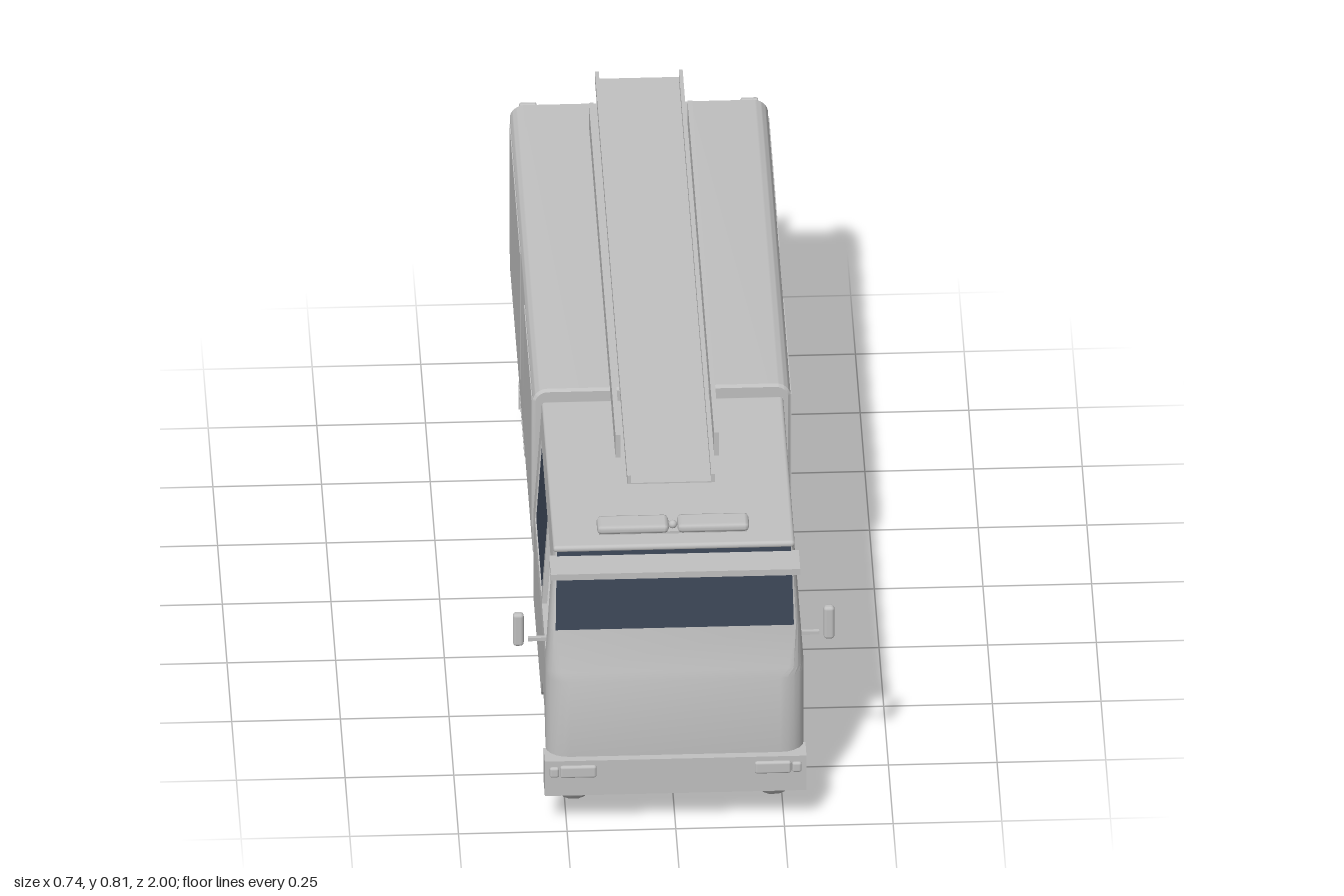
import * as THREE from 'three';
import { toCreasedNormals } from 'three/addons/utils/BufferGeometryUtils.js';
import { RoundedBoxGeometry } from 'three/addons/geometries/RoundedBoxGeometry.js';

const grey = new THREE.MeshStandardMaterial({ color: 0xc0c0c0, side: THREE.DoubleSide });
grey.name = 'grey paint';
const glass = new THREE.MeshStandardMaterial({ color: 0x3a4454, side: THREE.DoubleSide });
glass.name = 'dark glass';

export function createModel() {
  const root = new THREE.Group();
  root.name = 'boxTruck';
  const add = (name, geo, mat = grey) => {
    const m = new THREE.Mesh(geo, mat);
    m.name = name;
    root.add(m);
    return m;
  };
  // Boxes are given by their limits on each axis
  const box = (name, x0, x1, y0, y1, z0, z1, r = 0, seg = 2) => {
    const s = [Math.abs(x1 - x0), y1 - y0, z1 - z0];
    const g = r ? new RoundedBoxGeometry(...s, seg, r) : new THREE.BoxGeometry(...s);
    return add(name, g.translate((x0 + x1) / 2, (y0 + y1) / 2, (z0 + z1) / 2));
  };
  const lerpTable = (t, y) => {
    for (let i = 1; i < t.length; i++) {
      const [a, va] = t[i - 1], [b, vb] = t[i];
      if (y <= b) return va + (vb - va) * Math.max(0, (y - a) / (b - a));
    }
    return t[t.length - 1][1];
  };
  const poly = (pts) => new THREE.Shape(pts.map((p) => new THREE.Vector2(...p)));

  // ---- Cargo body: rounded section pushed along z
  const W = 0.297, B = 0.257, T = 0.727, R = 0.035;
  const sec = new THREE.Shape();
  sec.moveTo(-W + R, B);
  sec.lineTo(W - R, B);
  sec.absarc(W - R, B + R, R, -Math.PI / 2, 0);
  sec.absarc(W - R, T - R, R, 0, Math.PI / 2);
  sec.absarc(-W + R, T - R, R, Math.PI / 2, Math.PI);
  sec.absarc(-W + R, B + R, R, Math.PI, Math.PI * 1.5);
  const bodyGeo = new THREE.ExtrudeGeometry(sec, {
    depth: 1.208, bevelEnabled: true, bevelThickness: 0.006, bevelSize: 0.006, bevelOffset: -0.006, bevelSegments: 1, curveSegments: 6,
  });
  add('cargoBody', toCreasedNormals(bodyGeo.translate(0, 0, -0.96), 0.6));
  for (const s of [-1, 1]) {
    for (const [z0, z1] of [[-0.16, 0.245], [-0.93, -0.38]]) box('sidePanel', s * 0.296, s * 0.299, 0.35, 0.695, z0, z1);
    box('rearMarker', s * 0.235, s * 0.275, 0.7, 0.724, -0.978, -0.966, 0.004);
  }

  // ---- Cab: half width and front depth vary with height
  const halfW = (y) => lerpTable([[0.41, 0.297], [0.71, 0.277]], y);
  const frontZ = (y) => lerpTable([[0.39, 0.975], [0.41, 0.966], [0.52, 0.945], [0.71, 0.905]], y);
  const cornerW = (y) => lerpTable([[0.39, 0.055], [0.41, 0.035], [0.52, 0.015], [0.71, 0.008]], y);
  const cornerD = (y) => lerpTable([[0.39, 0.045], [0.52, 0.03]], y);
  const N = 5;
  const corner = (y, s) => Array.from({ length: N + 1 }, (_, i) => {
    const a = (i / N) * Math.PI / 2;
    return [s * (halfW(y) - cornerW(y) * (1 - Math.cos(a))), y, frontZ(y) - cornerD(y) * (1 - Math.sin(a))];
  });
  // Skin through rows of points, left to right and bottom to top
  const loft = (rows) => {
    const n = rows[0].length, idx = [];
    for (let r = 0; r + 1 < rows.length; r++) {
      for (let i = 0; i + 1 < n; i++) {
        const a = r * n + i, b = a + 1, c = a + n, d = c + 1;
        idx.push(a, b, d, a, d, c);
      }
    }
    const g = new THREE.BufferGeometry();
    g.setAttribute('position', new THREE.Float32BufferAttribute(rows.flat(2), 3));
    g.setIndex(idx);
    return toCreasedNormals(g, 0.45);
  };
  add('cabFront', loft([0.187, 0.39, 0.41, 0.515].map((y) => [...corner(y, -1), ...corner(y, 1).reverse()])));
  const upper = [0.515, 0.61, 0.71];
  add('rightPillar', loft(upper.map((y) => corner(y, -1))));
  add('leftPillar', loft(upper.map((y) => corner(y, 1).reverse())));
  add('windscreen', loft(upper.map((y) => [corner(y, -1)[N], corner(y, 1)[N]])), glass);

  // Side plates: profile in (z, y), laid against the tapering cab side
  const plate = (name, shape, s, t, inset, mat) => {
    const g = new THREE.ExtrudeGeometry(shape, { depth: t, bevelEnabled: false, curveSegments: 8 });
    const p = g.attributes.position;
    for (let i = 0; i < p.count; i++) {
      const z = p.getX(i), y = p.getY(i), d = p.getZ(i), edge = halfW(y) - inset;
      p.setXYZ(i, s > 0 ? edge - d : -edge + t - d, y, z);
    }
    g.computeVertexNormals();
    add(name, g, mat);
  };
  const frontWindow = [[0.705, 0.434], [0.905, 0.434], [0.884, 0.648], [0.705, 0.648]];
  const rearWindow = [[0.34, 0.434], [0.677, 0.434], [0.677, 0.648], [0.34, 0.648]];
  const doorEdge = (y) => frontZ(y) - cornerD(y);
  for (const s of [-1, 1]) {
    const low = poly([[0.286, 0.41], [0.286, 0.19], [0.7, 0.19]]);
    low.bezierCurveTo(0.75, 0.19, 0.74, 0.263, 0.79, 0.264);
    low.lineTo(0.87, 0.262);
    low.quadraticCurveTo(0.91, 0.25, 0.93, 0.19);
    low.lineTo(0.93, 0.39);
    low.lineTo(doorEdge(0.41), 0.41);
    plate('cabLowerSide', low, s, 0.014, 0, grey);
    const up = poly([[0.286, 0.41], [doorEdge(0.41), 0.41], [doorEdge(0.52), 0.52], [doorEdge(0.71), 0.71], [0.286, 0.71]]);
    up.holes.push(poly(frontWindow), poly(rearWindow));
    plate('cabUpperSide', up, s, 0.012, 0, grey);
    plate('rearSideWindow', poly(rearWindow), s, 0.004, 0.003, glass);
  }
  // The right front window is open
  plate('frontSideWindow', poly(frontWindow), 1, 0.004, 0.003, glass);
  const back = poly([[-0.296, 0.19], [0.296, 0.19], [0.296, 0.41], [0.276, 0.71], [-0.276, 0.71], [-0.296, 0.41]]);
  add('cabBack', new THREE.ExtrudeGeometry(back, { depth: 0.01, bevelEnabled: false }).translate(0, 0, 0.283));
  box('cabRoof', -0.278, 0.278, 0.7, 0.717, 0.284, 0.908, 0.008);
  box('cabFloor', -0.283, 0.283, 0.262, 0.27, 0.29, 0.93);
  box('sunVisor', -0.287, 0.287, 0.677, 0.693, 0.905, 0.987);

  // ---- Light bar
  box('lightBarBase', -0.17, 0.17, 0.715, 0.723, 0.825, 0.86);
  add('lightBarCentre', new THREE.SphereGeometry(0.01, 12, 8).translate(0, 0.731, 0.842));

  for (const s of [-1, 1]) {
    box('lightBarLamp', s * 0.01, s * 0.175, 0.721, 0.744, 0.814, 0.87, 0.01, 1);
    // Mirrors
    box('mirror', s * 0.345, s * 0.37, 0.44, 0.527, 0.877, 0.897, 0.008);
    box('mirrorArm', s * 0.285, s * 0.335, 0.45, 0.459, 0.88, 0.889);
    // Headlights
    box('headlight', s * 0.182, s * 0.266, 0.143, 0.175, 0.985, 1.0, 0.006);
    box('indicator', s * 0.268, s * 0.29, 0.145, 0.172, 0.985, 1.0, 0.006);
    // Ladder and supports
    box('ladderRail', s * 0.092, s * 0.101, 0.788, 0.811, -0.965, 0.757);
    box('ladderSupport', s * 0.108, s * 0.119, 0.725, 0.787, -0.87, 0.545);
    // Chassis
    box('chassisRail', s * 0.1, s * 0.125, 0.155, 0.217, -0.955, 0.94);
    box('rearLamp', s * 0.17, s * 0.235, 0.168, 0.195, -0.992, -0.98, 0.004);
    box('rearReflector', s * 0.13, s * 0.155, 0.172, 0.19, -0.99, -0.98, 0.004);
    // Mudguards
    box('frontMudguard', s * 0.15, s * 0.288, 0.13, 0.136, 0.73, 0.93);
    box('rearMudguard', s * 0.14, s * 0.288, 0.13, 0.136, -0.705, -0.395);
    box('mudFlap', s * 0.14, s * 0.288, 0.063, 0.136, -0.706, -0.7);
  }
  box('ladderDeck', -0.1, 0.1, 0.788, 0.791, -0.965, 0.757);

  // ---- Bumpers, cross members, tanks
  box('frontBumper', -0.301, 0.301, 0.093, 0.187, 0.935, 0.993);
  box('rearBumper', -0.275, 0.275, 0.108, 0.14, -1.0, -0.982);
  for (const z of [-0.93, -0.4, 0.0, 0.7]) box('crossMember', -0.11, 0.11, 0.165, 0.205, z - 0.015, z + 0.015);
  box('batteryBox', 0.13, 0.27, 0.125, 0.25, 0.225, 0.42);
  add('fuelTank', new THREE.CylinderGeometry(0.064, 0.064, 0.26, 20).rotateX(Math.PI / 2).translate(-0.2, 0.189, 0.355));

  // ---- Wheels: single at the front, double at the rear
  const tyre = [[0, 0.012], [0.06, 0.012], [0.064, 0.002], [0.098, 0], [0.112, 0.008], [0.117, 0.022],
    [0.117, 0.044], [0.112, 0.058], [0.098, 0.066], [0.064, 0.064], [0.06, 0.054], [0, 0.054]];
  const tyreGeo = toCreasedNormals(new THREE.LatheGeometry(tyre.map((p) => new THREE.Vector2(...p)), 20)
    .translate(0, -0.033, 0).rotateZ(Math.PI / 2), 0.6);
  for (const [name, z, xs] of [['front', 0.827, [0.23]], ['rear', -0.55, [0.23, 0.166]]]) {
    for (const s of [-1, 1]) {
      for (const x of xs) add(name + 'Wheel', tyreGeo).position.set(s * x, 0.117, z);
      add(name + 'Hub', new THREE.CylinderGeometry(0.03, 0.03, 0.02, 16).rotateZ(Math.PI / 2)).position.set(s * 0.25, 0.117, z);
    }
    add(name + 'Axle', new THREE.CylinderGeometry(0.02, 0.02, 0.42, 12).rotateZ(Math.PI / 2)).position.set(0, 0.117, z);
  }
  return root;
}
